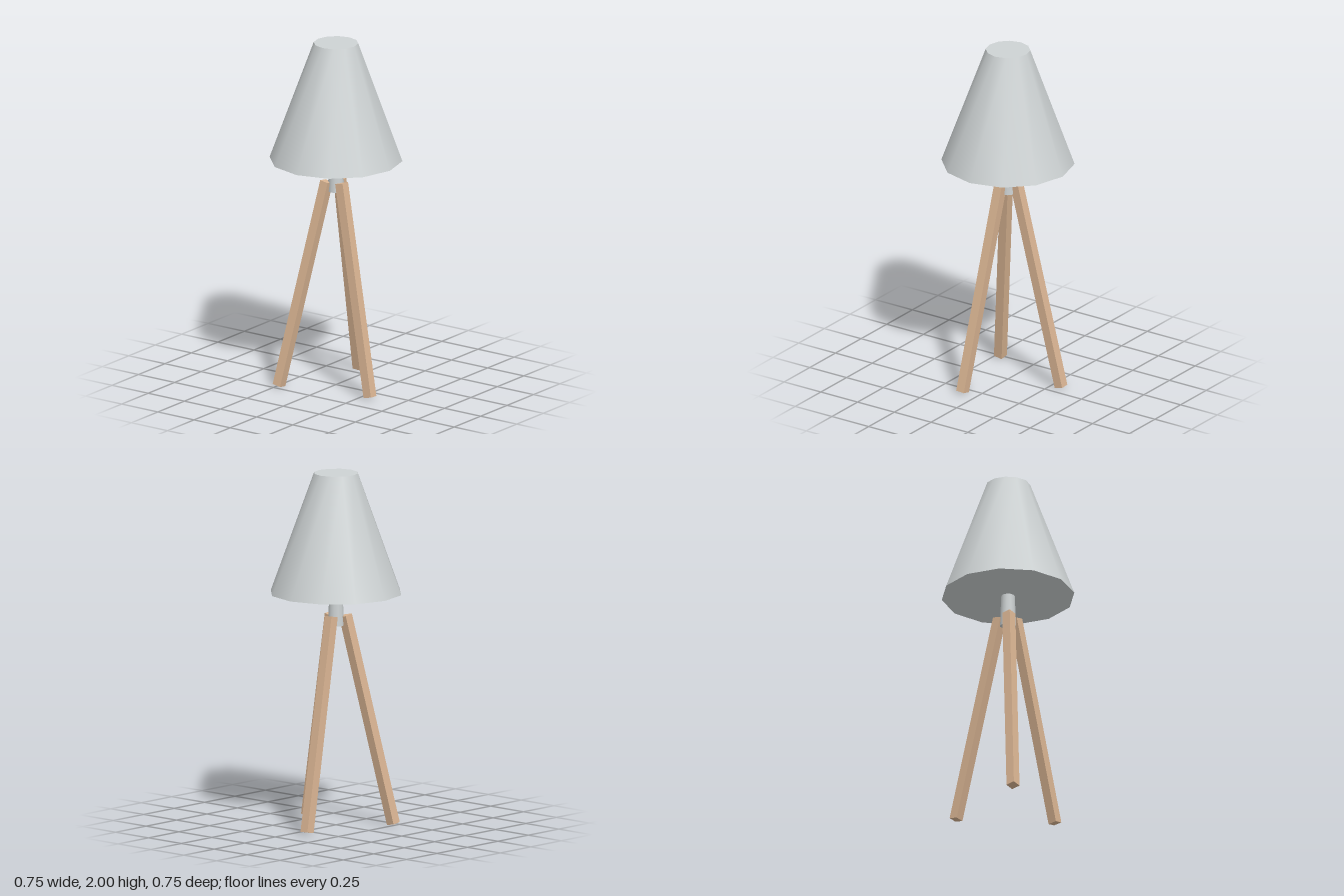
import * as THREE from 'three';

const shadeGrey = new THREE.MeshStandardMaterial({ color: 0xcdd2d3 });
shadeGrey.name = 'shadeGrey';
const lightWood = new THREE.MeshStandardMaterial({ color: 0xdab593 });
lightWood.name = 'lightWood';

function part(name, geometry, material) {
  const mesh = new THREE.Mesh(geometry, material);
  mesh.name = name;
  return mesh;
}

// Square bar running between two points
function bar(name, from, to, width) {
  const axis = to.clone().sub(from);
  const mesh = part(name, new THREE.BoxGeometry(width, axis.length(), width), lightWood);
  mesh.position.copy(from).lerp(to, 0.5);
  mesh.quaternion.setFromUnitVectors(new THREE.Vector3(0, 1, 0), axis.normalize());
  return mesh;
}

export function createModel() {
  const group = new THREE.Group();
  group.name = 'tripodLamp';

  // Twelve-sided closed shade
  const shade = part('shade', new THREE.CylinderGeometry(0.125, 0.373, 0.68, 12), shadeGrey);
  shade.position.y = 1.66;
  group.add(shade);

  // Short stem between shade and legs
  const stem = part('stem', new THREE.CylinderGeometry(0.038, 0.046, 0.19, 12), shadeGrey);
  stem.position.y = 1.23;
  group.add(stem);

  // Three splayed legs, a third of a turn apart
  for (let i = 0; i < 3; i++) {
    const angle = THREE.MathUtils.degToRad(17.5 + i * 120);
    const at = (radius, y) => new THREE.Vector3(Math.cos(angle) * radius, y, Math.sin(angle) * radius);
    group.add(bar('leg' + (i + 1), at(0.32, 0.009), at(0.053, 1.192), 0.052));
  }
  return group;
}
